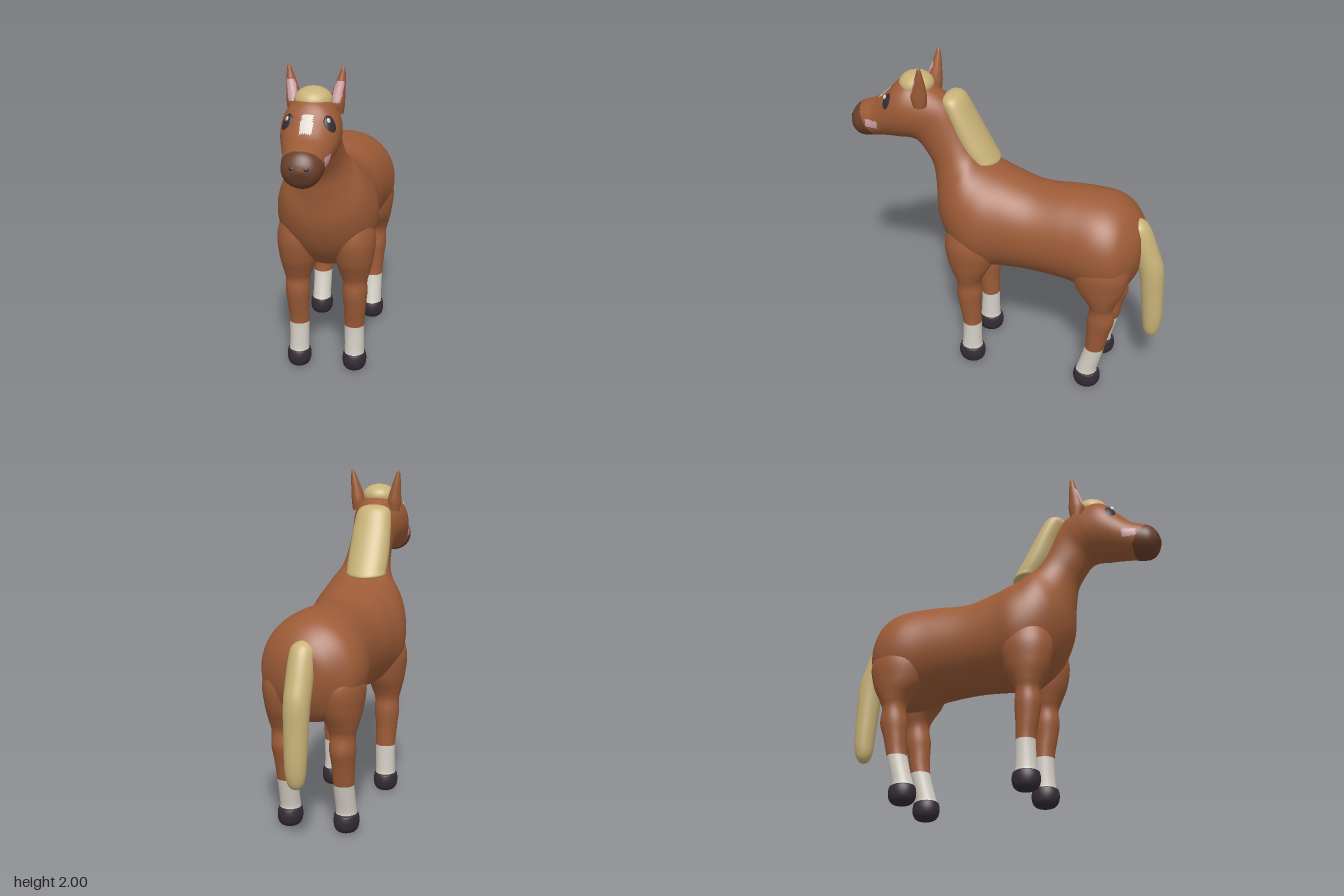
import * as THREE from 'three';

const colour = (name, hex) => Object.assign(new THREE.MeshStandardMaterial({ color: hex }), { name });

// Smooth skin through elliptical rings. Each ring: [z1, y1, z2, y2, halfWidth, x],
// where (z1,y1) and (z2,y2) are its opposite ends in the side plane.
function skin(rings, sides = 48, steps = 8) {
  const rows = [];
  const at = (i) => rings[Math.min(Math.max(i, 0), rings.length - 1)];
  for (let i = 0; i < rings.length - 1; i++) {
    const last = i === rings.length - 2;
    for (let s = 0; s < steps + (last ? 1 : 0); s++) {
      const t = s / steps;
      rows.push([0, 1, 2, 3, 4, 5].map((k) => {
        const [a, b, c, d] = [-1, 0, 1, 2].map((o) => at(i + o)[k] ?? 0);
        return b + 0.5 * t * (c - a + t * (2 * a - 5 * b + 4 * c - d + t * (3 * (b - c) + d - a)));
      }));
    }
  }
  const pos = [], index = [];
  rows.forEach(([z1, y1, z2, y2, w, x], i) => {
    for (let j = 0; j < sides; j++) {
      const a = (j / sides) * Math.PI * 2, c = Math.cos(a) / 2;
      pos.push(x + Math.max(w, 0) * Math.sin(a), (y1 + y2) / 2 + (y1 - y2) * c, (z1 + z2) / 2 + (z1 - z2) * c);
      if (i === rows.length - 1) continue;
      const k = (j + 1) % sides, p = i * sides, q = p + sides;
      index.push(p + j, q + j, p + k, p + k, q + j, q + k);
    }
  });
  const g = new THREE.BufferGeometry();
  g.setAttribute('position', new THREE.Float32BufferAttribute(pos, 3));
  g.setIndex(index);
  g.computeVertexNormals();
  return g;
}

// Sort triangles into material groups by a rule on their centre point
function paint(g, count, rule) {
  const p = g.attributes.position, idx = g.index.array;
  const sets = Array.from({ length: count }, () => []);
  const mid = (t, get) => (p[get](idx[t]) + p[get](idx[t + 1]) + p[get](idx[t + 2])) / 3;
  for (let t = 0; t < idx.length; t += 3) {
    sets[rule(mid(t, 'getX'), mid(t, 'getY'), mid(t, 'getZ'))].push(idx[t], idx[t + 1], idx[t + 2]);
  }
  g.setIndex(sets.flat());
  let start = 0;
  sets.forEach((s, m) => { g.addGroup(start, s.length, m); start += s.length; });
  return g;
}

export function createModel() {
  const coat = colour('chestnut coat', 0x9c5b37);
  const hair = colour('flaxen hair', 0xc8b278);
  const sock = colour('white sock', 0xd6d0c6);
  const dark = colour('dark hoof', 0x352c35);
  const muzzle = colour('brown muzzle', 0x69402a);
  const pink = colour('pink', 0xcfa3a8);

  const model = new THREE.Group();
  model.name = 'horse';
  const add = (name, geometry, material) => {
    const m = new THREE.Mesh(geometry, material);
    m.name = name;
    model.add(m);
    return m;
  };
  const ball = (name, material, pos, scale, facing) => {
    const m = add(name, new THREE.SphereGeometry(1, 28, 20), material);
    m.position.set(...pos);
    m.scale.set(...scale);
    if (facing) m.lookAt(pos[0] + facing[0], pos[1] + facing[1], pos[2] + facing[2]);
    return m;
  };

  // Rump, torso, neck and head in one skin
  const body = skin([
    [-0.848, 1.01, -0.848, 1.0, 0],
    [-0.84, 1.1, -0.845, 0.89, 0.11],
    [-0.79, 1.19, -0.81, 0.78, 0.2],
    [-0.71, 1.26, -0.74, 0.69, 0.28],
    [-0.6, 1.295, -0.6, 0.665, 0.305],
    [-0.42, 1.3, -0.42, 0.7, 0.278],
    [-0.2, 1.288, -0.2, 0.715, 0.265],
    [-0.02, 1.335, 0, 0.705, 0.28],
    [0.07, 1.365, 0.18, 0.69, 0.305],
    [0.13, 1.39, 0.33, 0.81, 0.285],
    [0.17, 1.425, 0.425, 1.0, 0.24],
    [0.2, 1.47, 0.45, 1.2, 0.172],
    [0.24, 1.54, 0.47, 1.32, 0.14],
    [0.29, 1.63, 0.515, 1.4, 0.13],
    [0.35, 1.73, 0.56, 1.455, 0.13],
    [0.42, 1.79, 0.6, 1.475, 0.145],
    [0.5, 1.835, 0.64, 1.475, 0.16],
    [0.6, 1.865, 0.68, 1.47, 0.167],
    [0.68, 1.84, 0.72, 1.468, 0.16],
    [0.75, 1.77, 0.77, 1.462, 0.142],
    [0.83, 1.695, 0.82, 1.455, 0.124],
    [0.9, 1.665, 0.88, 1.44, 0.116],
    [0.955, 1.638, 0.93, 1.44, 0.105],
    [0.985, 1.6, 0.965, 1.465, 0.08],
    [0.998, 1.565, 0.985, 1.505, 0.045],
    [1, 1.545, 1, 1.545, 0],
  ], 72);
  paint(body, 4, (x, y, z) => {
    if (y > 1.4 && z > Math.max(0.845, 0.87 + 0.6 * (y - 1.54))) return 1;
    if (Math.abs(z - 0.83) < 0.042 && Math.abs(y - 1.57) < 0.025) return 2;
    if (Math.abs(x) < 0.032 && y > 1.66 && z > 0.73 && z < 0.815) return 3;
    return 0;
  });
  add('bodyAndHead', body, [coat, muzzle, pink, sock]);

  // Legs: [centre z, y, half depth, half width, x], from shoulder or hip down to the hoof
  const hoof = (z) => [[z, 0.13, 0.063, 0.06, 0.173], [z, 0.105, 0.078, 0.07, 0.174], [z, 0.065, 0.084, 0.074, 0.174],
    [z, 0.025, 0.074, 0.066, 0.174], [z, 0.004, 0.048, 0.044, 0.174], [z, 0, 0, 0, 0.174]];
  const front = [[0.19, 1.12, 0, 0, 0.14], [0.19, 1.05, 0.11, 0.09, 0.15], [0.19, 0.9, 0.16, 0.132, 0.165],
    [0.195, 0.76, 0.138, 0.118, 0.17], [0.2, 0.66, 0.092, 0.092, 0.174], [0.2, 0.6, 0.072, 0.075, 0.176],
    [0.2, 0.52, 0.078, 0.076, 0.176], [0.195, 0.42, 0.068, 0.067, 0.175], [0.185, 0.3, 0.059, 0.061, 0.172],
    ...hoof(0.187)];
  const back = [[-0.62, 1.12, 0, 0, 0.14], [-0.62, 1.05, 0.12, 0.09, 0.15], [-0.63, 0.9, 0.175, 0.132, 0.165],
    [-0.635, 0.76, 0.152, 0.118, 0.17], [-0.65, 0.66, 0.092, 0.092, 0.174], [-0.65, 0.6, 0.072, 0.075, 0.176],
    [-0.648, 0.51, 0.083, 0.076, 0.176], [-0.636, 0.42, 0.07, 0.067, 0.175], [-0.62, 0.3, 0.061, 0.061, 0.172],
    ...hoof(-0.577)];
  for (const [side, s] of [['Left', 1], ['Right', -1]]) {
    for (const [name, leg] of [['front', front], ['back', back]]) {
      const g = skin(leg.map(([z, y, d, w, x]) => [z + d, y, z - d, y, w, x * s]), 36);
      paint(g, 3, (x, y) => (y < 0.115 ? 2 : y < 0.302 ? 1 : 0));
      add(`${name}${side}Leg`, g, [coat, sock, dark]);
    }

    // Ear with a pink inner face
    const ear = skin([
      [0.47, 1.74, 0.55, 1.74, 0.04, 0.115 * s],
      [0.462, 1.8, 0.562, 1.8, 0.042, 0.12 * s],
      [0.465, 1.85, 0.55, 1.85, 0.037, 0.126 * s],
      [0.47, 1.91, 0.53, 1.91, 0.027, 0.137 * s],
      [0.477, 1.96, 0.513, 1.96, 0.017, 0.146 * s],
      [0.483, 1.99, 0.503, 1.99, 0.009, 0.151 * s],
      [0.492, 2, 0.492, 2, 0, 0.152 * s],
    ], 32);
    paint(ear, 2, (x, y, z) => {
      const across = Math.abs(x - s * (0.12 + 0.17 * (y - 1.82)));
      return y > 1.81 && y < 1.925 && z > 0.515 && across < 0.026 ? 1 : 0;
    });
    add(`ear${side}`, ear, [coat, pink]);

    // Eye, glint and nostril
    const look = [0.74 * s, 0.4, 0.5];
    ball(`eye${side}`, dark, [0.116 * s, 1.73, 0.715], [0.041, 0.056, 0.017], look);
    ball(`glint${side}`, sock, [0.113 * s, 1.762, 0.735], [0.012, 0.014, 0.006], look);
    ball(`nostril${side}`, dark, [0.036 * s, 1.565, 0.984], [0.019, 0.015, 0.012]);
  }

  // Forelock
  ball('forelock', hair, [0, 1.83, 0.575], [0.105, 0.073, 0.105]);

  // Mane, hanging slightly to one side
  add('mane', skin([
    [0.1, 1.37, 0.2, 1.37, 0, -0.045],
    [0.075, 1.375, 0.25, 1.38, 0.11, -0.045],
    [0.1, 1.425, 0.28, 1.41, 0.125, -0.042],
    [0.165, 1.54, 0.33, 1.5, 0.126, -0.04],
    [0.23, 1.66, 0.375, 1.62, 0.12, -0.038],
    [0.285, 1.76, 0.41, 1.7, 0.11, -0.036],
    [0.33, 1.79, 0.42, 1.73, 0.095, -0.036],
    [0.38, 1.79, 0.42, 1.75, 0.06, -0.036],
    [0.41, 1.77, 0.42, 1.76, 0, -0.036],
  ], 40), hair);

  // Tail
  add('tail', skin([
    [-0.76, 1.12, -0.78, 1.17, 0, 0],
    [-0.74, 1.06, -0.83, 1.16, 0.07, 0],
    [-0.77, 0.97, -0.88, 1.11, 0.077, 0],
    [-0.815, 0.86, -0.94, 0.96, 0.077, 0],
    [-0.835, 0.78, -0.977, 0.84, 0.075, 0],
    [-0.85, 0.66, -0.985, 0.68, 0.07, 0],
    [-0.867, 0.5, -0.99, 0.5, 0.063, 0],
    [-0.878, 0.41, -0.98, 0.41, 0.053, 0],
    [-0.9, 0.365, -0.96, 0.365, 0.033, 0],
    [-0.932, 0.35, -0.932, 0.35, 0, 0],
  ], 36), hair);

  return model;
}
